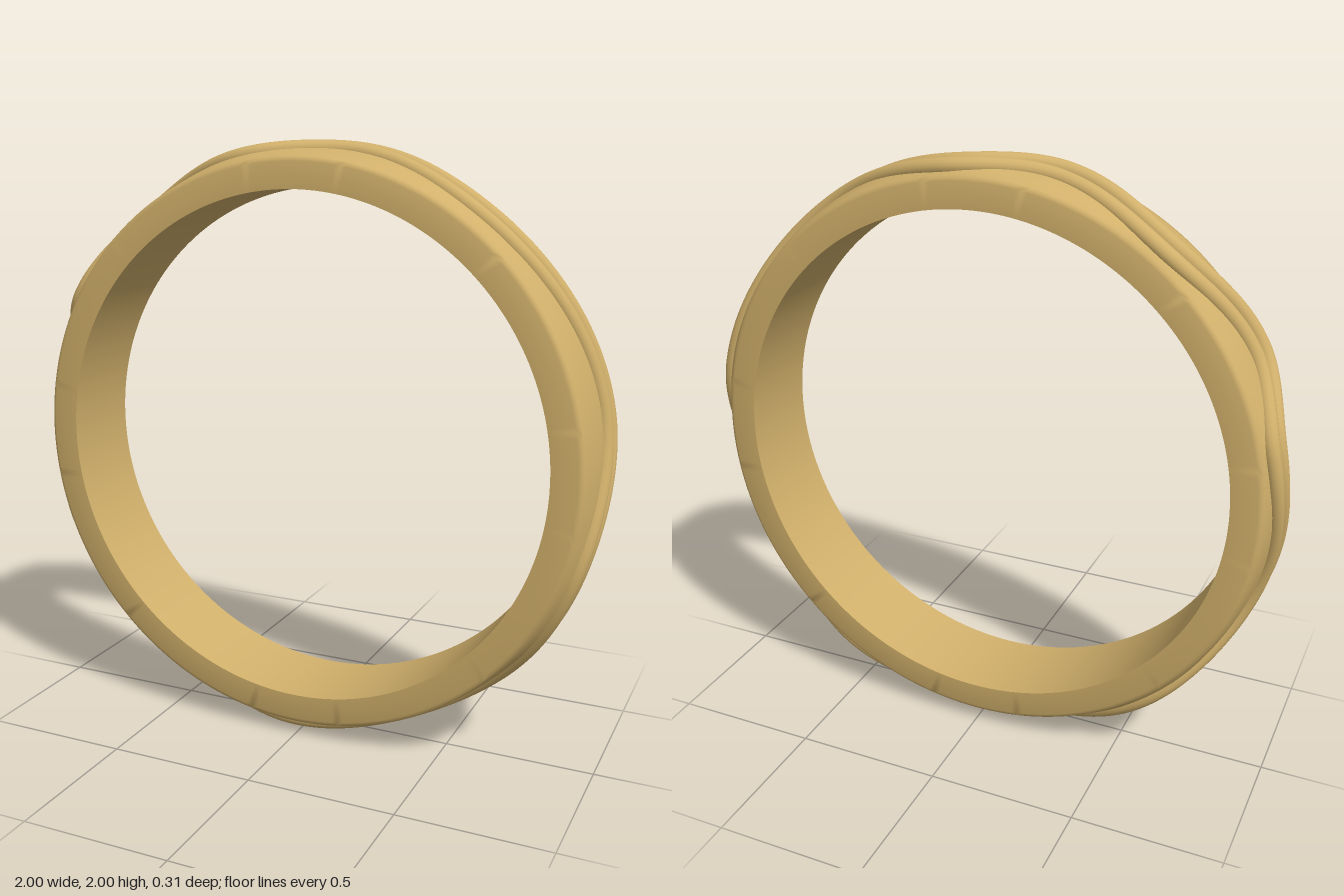
import * as THREE from 'three';
import { toCreasedNormals } from 'three/addons/utils/BufferGeometryUtils.js';

const STEPS = 288;
const TUBE_R = 0.028;

// wave turning points: angle in degrees, z of front strand, z of back strand
const WAVE = [
  [12, -0.05, -0.11], [54, 0.065, -0.03], [83, -0.03, -0.115], [103, 0.07, -0.03],
  [127, -0.02, -0.11], [151, 0.085, -0.005], [168, -0.03, -0.11], [200, 0.08, 0],
  [232, -0.03, -0.11], [267, 0.08, -0.01], [302, -0.02, -0.1], [340, 0.09, 0.02],
];

// smooth swing between neighbouring turning points
function waveZ(deg, strand) {
  const n = WAVE.length;
  const d = deg < WAVE[0][0] ? deg + 360 : deg;
  let i = n - 1;
  while (WAVE[i][0] > d) i--;
  const a = WAVE[i], b = WAVE[(i + 1) % n];
  const end = i === n - 1 ? b[0] + 360 : b[0];
  const t = (1 - Math.cos(Math.PI * (d - a[0]) / (end - a[0]))) / 2;
  return a[strand] + (b[strand] - a[strand]) * t;
}

// cross-section of the band as [radius, z]: swells from each rim up to the strands
function section(deg) {
  const f = waveZ(deg, 1), b = waveZ(deg, 2);
  const H = 0.157;
  const pts = [[0.935, H], [0.944, H - 0.003], [0.951, H - 0.01]];
  for (let k = 1; k <= 4; k++) {
    const t = k / 4;
    pts.push([0.951 + 0.024 * Math.sin(t * Math.PI / 2), H - 0.01 + (f - H + 0.01) * t]);
  }
  pts.push([0.968, (f + b) / 2], [0.973, b]);
  for (let k = 1; k <= 3; k++) {
    const t = k / 3;
    pts.push([0.951 + 0.022 * Math.cos(t * Math.PI / 2), b + (-H + 0.01 - b) * t]);
  }
  pts.push([0.944, -H + 0.003], [0.935, -H], [0.85, -H], [0.85, H]);
  return pts;
}

function bandGeometry() {
  const pos = [], idx = [];
  let m = 0;
  for (let i = 0; i < STEPS; i++) {
    const deg = i / STEPS * 360, a = deg * Math.PI / 180;
    const s = section(deg);
    m = s.length;
    for (const [r, z] of s) pos.push(r * Math.cos(a), r * Math.sin(a), z);
  }
  for (let i = 0; i < STEPS; i++) {
    const i2 = (i + 1) % STEPS;
    for (let j = 0; j < m; j++) {
      const j2 = (j + 1) % m;
      const a = i * m + j, b = i * m + j2, c = i2 * m + j, d = i2 * m + j2;
      idx.push(a, b, c, b, d, c);
    }
  }
  const g = new THREE.BufferGeometry();
  g.setAttribute('position', new THREE.Float32BufferAttribute(pos, 3));
  g.setIndex(idx);
  return toCreasedNormals(g, 0.9);
}

// raised wire that follows the wave around the band
function strandGeometry(strand) {
  const pts = [];
  const r = 0.999 - TUBE_R;
  for (let i = 0; i < 180; i++) {
    const deg = i * 2, a = deg * Math.PI / 180;
    pts.push(new THREE.Vector3(r * Math.cos(a), r * Math.sin(a), waveZ(deg, strand)));
  }
  return new THREE.TubeGeometry(new THREE.CatmullRomCurve3(pts, true), 360, TUBE_R, 14, true);
}

export function createModel() {
  const gold = new THREE.MeshStandardMaterial({ color: 0xd1b06b });
  gold.name = 'gold';
  const ring = new THREE.Group();
  ring.name = 'ring';

  const add = (name, geometry) => {
    const mesh = new THREE.Mesh(geometry, gold);
    mesh.name = name;
    mesh.position.y = 1;
    ring.add(mesh);
  };
  add('band', bandGeometry());
  add('frontStrand', strandGeometry(1));
  add('backStrand', strandGeometry(2));
  return ring;
}
